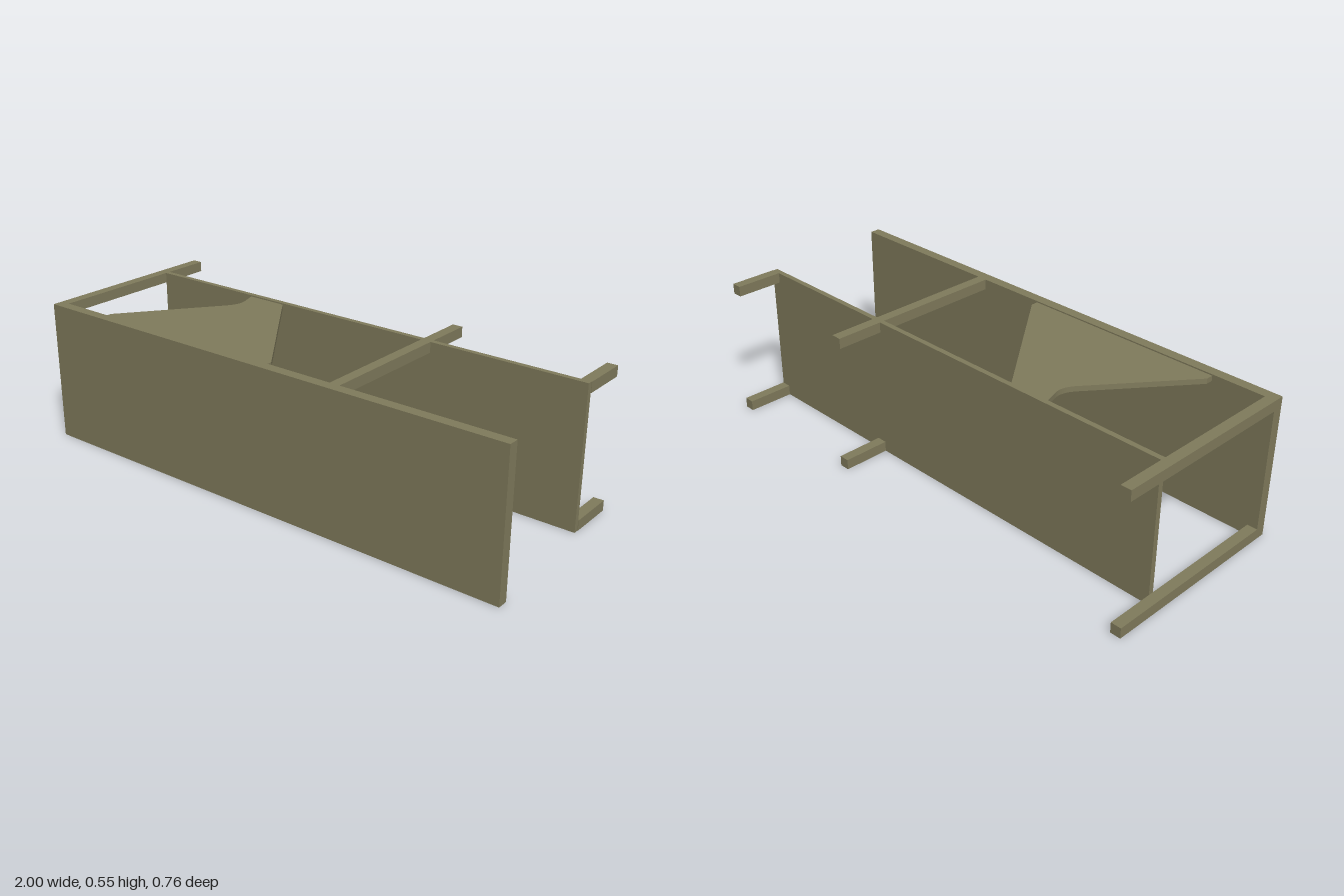
import * as THREE from 'three';

const H = 0.545;      // overall height
const BAR = 0.04;     // square section of the rails

export function createModel() {
  const group = new THREE.Group();
  const olive = new THREE.MeshStandardMaterial({ color: 0x807b5c });
  olive.name = 'olive';

  // Box given by its minimum and maximum corners
  const addBox = (name, [x0, y0, z0], [x1, y1, z1]) => {
    const mesh = new THREE.Mesh(new THREE.BoxGeometry(x1 - x0, y1 - y0, z1 - z0), olive);
    mesh.position.set((x0 + x1) / 2, (y0 + y1) / 2, (z0 + z1) / 2);
    mesh.name = name;
    group.add(mesh);
  };

  // Thick front panel and thin back panel
  addBox('frontPanel', [-1, 0, 0.34], [1, H, 0.38]);
  addBox('backPanel', [-0.96, 0, -0.195], [0.96, H, -0.175]);

  // Rails at top and bottom: two long ones and a short stub at the open end
  const rails = [
    ['endRail', -1, 0.34],
    ['middleRail', 0.312, 0.34],
    ['stubRail', 0.922, -0.195],
  ];
  for (const [level, y] of [['Bottom', 0], ['Top', H - BAR]]) {
    for (const [name, x, zFront] of rails) {
      addBox(name + level, [x, y, -0.38], [x + BAR, y + BAR, zFront]);
    }
  }

  // Flat gusset between the panels, with a curved neck; shape y becomes z
  const shape = new THREE.Shape();
  shape.moveTo(-0.755, 0.34);
  shape.lineTo(-0.755, 0.312);
  shape.lineTo(-0.49, -0.03);
  shape.bezierCurveTo(-0.467, -0.06, -0.46, -0.085, -0.468, -0.115);
  shape.lineTo(-0.488, -0.176);
  shape.lineTo(-0.328, -0.176);
  shape.lineTo(0.04, 0.312);
  shape.lineTo(0.04, 0.34);
  shape.closePath();
  const plate = new THREE.ExtrudeGeometry(shape, { depth: 0.02, bevelEnabled: false, curveSegments: 10 });
  plate.rotateX(Math.PI / 2);
  const gusset = new THREE.Mesh(plate, olive);
  gusset.position.y = 0.54;
  gusset.name = 'gussetPlate';
  group.add(gusset);

  return group;
}
